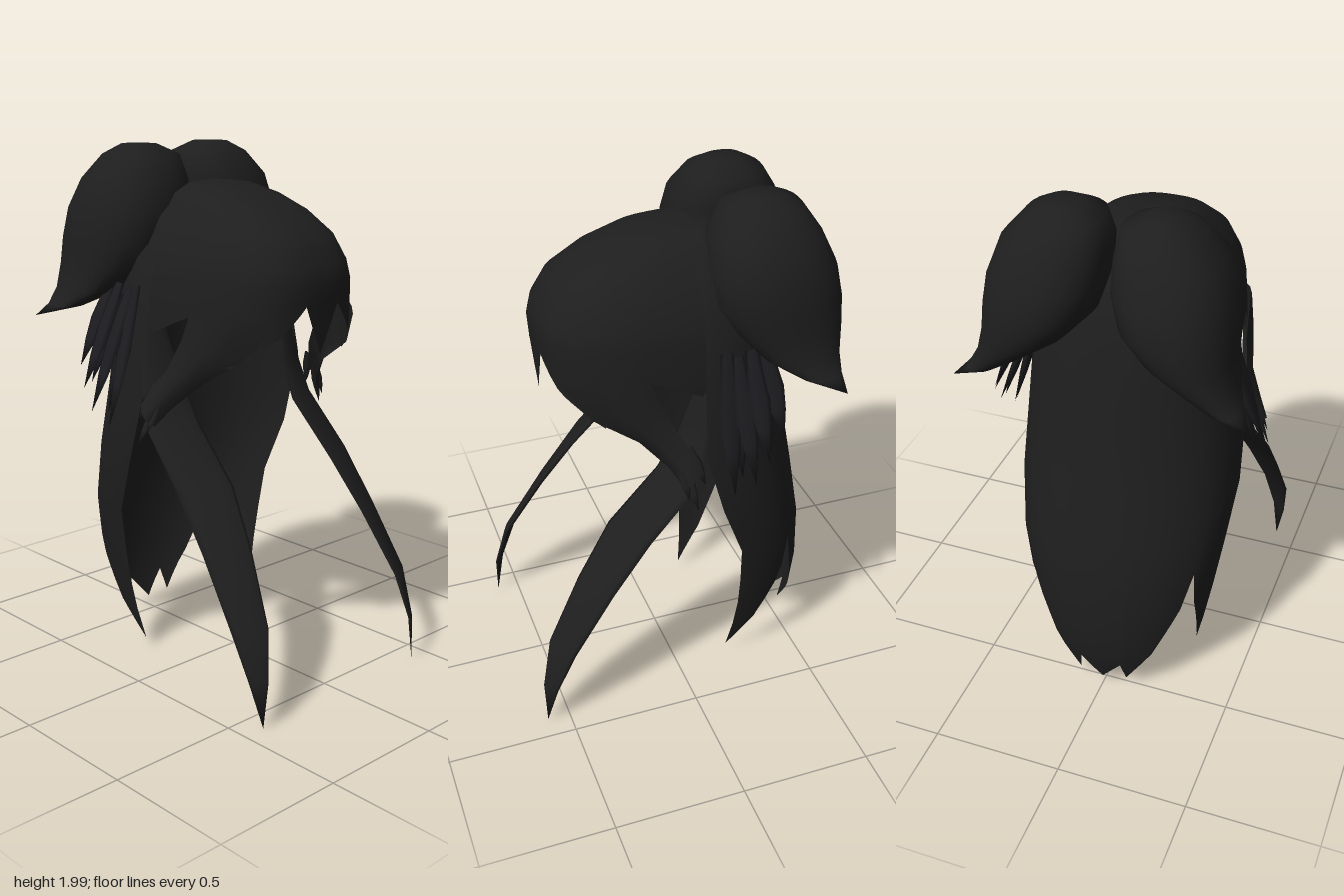
import * as THREE from 'three';
import { mergeVertices } from 'three/addons/utils/BufferGeometryUtils.js';

const hair = new THREE.MeshStandardMaterial({ color: 0x1e1e1e, side: THREE.DoubleSide });
hair.name = 'black hair';
const tuftHair = new THREE.MeshStandardMaterial({ color: 0x1c1c20, side: THREE.DoubleSide });
tuftHair.name = 'blue black hair';

// Smooth surface through a grid of points; rows run downwards, columns run to the right
function gridSurface(rows, flip = false) {
  const n = rows[0].length, index = [];
  for (let i = 0; i < rows.length - 1; i++) {
    for (let j = 0; j < n - 1; j++) {
      const a = i * n + j, b = a + 1, c = a + n, d = c + 1;
      if (flip) index.push(a, b, c, b, d, c);
      else index.push(a, c, b, b, c, d);
    }
  }
  const g = new THREE.BufferGeometry();
  g.setAttribute('position', new THREE.Float32BufferAttribute(rows.flat(2), 3));
  g.setIndex(index);
  const merged = mergeVertices(g, 1e-4);
  merged.computeVertexNormals();
  return merged;
}

function mirrored(geometry) {
  const g = geometry.clone().scale(-1, 1, 1);
  const ix = g.index.array;
  for (let i = 0; i < ix.length; i += 3) [ix[i], ix[i + 1]] = [ix[i + 1], ix[i]];
  g.computeVertexNormals();
  return g;
}

// Linear lookup of a table whose first entry is the sorted key
function lookup(table, key) {
  const up = table[table.length - 1][0] > table[0][0];
  for (let i = 0; i < table.length - 1; i++) {
    const a = table[i], b = table[i + 1];
    if (up ? key <= b[0] : key >= b[0]) {
      const t = THREE.MathUtils.clamp((key - a[0]) / (b[0] - a[0]), 0, 1);
      return a.map((v, k) => v + (b[k] - v) * t);
    }
  }
  return table[table.length - 1];
}

// Point on a rounded square of radius 1 as [sine, cosine]
function roundedSquare(angle, power) {
  const s = Math.sin(angle), c = Math.cos(angle);
  const k = Math.pow(Math.pow(Math.abs(s), power) + Math.pow(Math.abs(c), power), -1 / power);
  return [s * k, c * k];
}

// Open curtain wrapping `wrap` radians to each side of the middle.
// levels: [y, half width, z of open edge, z of middle]; rim: [u, lowest y], middle 0 to edge 1
function curtain(levels, rim, power, wrap, back) {
  const us = [];
  rim.forEach(([u], i) => {
    us.push(u);
    if (i < rim.length - 1) us.push(u + (rim[i + 1][0] - u) / 3, u + (rim[i + 1][0] - u) * 2 / 3);
  });
  const columns = [...us.slice(1).reverse().map(u => -u), ...us];
  const ys = [];
  levels.forEach(([y], i) => {
    ys.push(y);
    if (i < levels.length - 1) ys.push((y + levels[i + 1][0]) / 2);
  });
  const edge = roundedSquare(wrap, power)[1];
  const rows = ys.map(y0 => columns.map(u => {
    const y = Math.max(y0, lookup(rim, Math.abs(u))[1]);
    const [, rx, zEdge, zMid] = lookup(levels, y);
    const [s, c] = roundedSquare(u * wrap, power);
    return [rx * s, y, zEdge + (zMid - zEdge) * (c - edge) / (1 - edge)];
  }));
  return gridSurface(rows, back);
}

// Stacked rounded rings: [y, xMin, xMax, zMin, zMax, lean]; lean pushes the inner side forward
function ringStack(levels, sides, power) {
  return gridSurface(levels.map(([y, x0, x1, z0, z1, lean = 0]) =>
    Array.from({ length: sides + 1 }, (_, j) => {
      const [s, c] = roundedSquare((j % sides) / sides * Math.PI * 2, power);
      return [(x0 + x1) / 2 + (x1 - x0) / 2 * s, y, (z0 + z1) / 2 + (z1 - z0) / 2 * c - lean * s];
    })));
}

// Pointed flat tuft from root to tip
function spike(root, tip, width) {
  const a = new THREE.Vector3(...root), b = new THREE.Vector3(...tip);
  const dir = b.clone().sub(a).normalize();
  const out = new THREE.Vector3(1, 0, 0).addScaledVector(dir, -dir.x).normalize();
  const across = new THREE.Vector3().crossVectors(dir, out);
  return gridSurface([[0, 0.6], [0.45, 1], [0.7, 0.7], [1, 0]].map(([t, w]) =>
    Array.from({ length: 7 }, (_, j) => {
      const q = (j % 6) / 6 * Math.PI * 2;
      return a.clone().lerp(b, t)
        .addScaledVector(across, Math.cos(q) * width * w)
        .addScaledVector(out, Math.sin(q) * width * w * 0.3).toArray();
    })), true);
}

export function createModel() {
  const model = new THREE.Group();
  model.name = 'hairstyle';
  const add = (name, geometry, material = hair) => {
    const m = new THREE.Mesh(geometry, material);
    m.name = name;
    model.add(m);
  };
  const addPair = (name, geometry, material) => {
    add(name + 'Left', geometry, material);
    add(name + 'Right', mirrored(geometry), material);
  };

  // Long back hair with a jagged hem and a slit beside each side lock
  add('backHair', curtain([
    [1.868, 0, -0.12, -0.12], [1.84, 0.15, -0.07, -0.25], [1.75, 0.26, -0.07, -0.34],
    [1.6, 0.335, -0.07, -0.4], [1.4, 0.38, -0.06, -0.44], [1.1, 0.41, -0.06, -0.485],
    [0.85, 0.418, -0.13, -0.53], [0.62, 0.395, -0.22, -0.57], [0.4, 0.36, -0.235, -0.585],
    [0.2, 0.32, -0.21, -0.578], [0.05, 0.285, -0.18, -0.54],
  ], [[0, 0.05], [0.15, 0.15], [0.19, 0.06], [0.37, 0.22], [0.52, 0.44], [0.57, 0.6],
    [0.63, 0.45], [0.8, 0.2], [0.94, 0.05], [1, 0.45]], 2.15, 1.75, true));

  // Rounded crown and fringe
  add('fringe', curtain([
    [1.87, 0, -0.12, -0.12], [1.86, 0.11, -0.13, 0.04], [1.825, 0.18, -0.13, 0.16],
    [1.77, 0.23, -0.13, 0.29], [1.69, 0.285, -0.13, 0.4], [1.6, 0.325, -0.13, 0.45],
    [1.53, 0.34, -0.13, 0.465], [1.4, 0.352, -0.12, 0.455], [1.2, 0.355, -0.1, 0.445],
  ], [[0, 1.28], [0.145, 1.46], [0.3, 1.36], [0.42, 1.31], [0.55, 1.24],
    [0.66, 1.35], [0.72, 1.42], [1, 1.31]], 2.7, Math.PI / 2, false));

  // Teardrop buns with an outward tip
  addPair('bun', ringStack([
    [2.0, 0.19, 0.19, -0.33, -0.33], [1.998, 0.12, 0.24, -0.4, -0.26], [1.96, 0.035, 0.31, -0.47, -0.19],
    [1.87, 0.015, 0.39, -0.53, -0.135], [1.76, 0.015, 0.43, -0.58, -0.115],
    [1.65, 0.045, 0.445, -0.598, -0.12], [1.55, 0.14, 0.448, -0.588, -0.19],
    [1.46, 0.28, 0.465, -0.56, -0.28], [1.4, 0.39, 0.495, -0.545, -0.39], [1.36, 0.54, 0.54, -0.53, -0.53],
  ], 24, 2.4));

  // Long thin forward locks
  addPair('frontLock', ringStack([
    [1.35, 0.29, 0.37, -0.085, -0.055, 0.01], [1.15, 0.26, 0.41, -0.05, -0.01, 0.03],
    [1.0, 0.25, 0.433, 0.01, 0.055, 0.045], [0.8, 0.26, 0.448, 0.2, 0.245, 0.05],
    [0.6, 0.3, 0.456, 0.345, 0.385, 0.045], [0.36, 0.35, 0.467, 0.495, 0.53, 0.035],
    [0.18, 0.39, 0.447, 0.56, 0.58, 0.02], [0.01, 0.413, 0.413, 0.588, 0.588, 0],
  ], 12, 1.8));

  // Side fringe sweeping back: front edge and back edge of each step
  addPair('sweptFringe', gridSurface([
    [[0.2, 1.4, 0.425], [0.345, 1.46, 0.15]], [[0.275, 1.27, 0.33], [0.352, 1.33, 0.1]],
    [[0.32, 1.17, 0.17], [0.375, 1.21, 0.04]], [[0.38, 1.08, 0.08], [0.42, 1.14, 0]],
    [[0.43, 1.01, 0.035], [0.445, 1.08, -0.025]],
  ].map(([f, b]) => [0, 0.25, 0.5, 0.75, 1].map(t => {
    const bulge = 0.03 * Math.sin(Math.PI * t);
    return [f[0] + (b[0] - f[0]) * t + bulge, f[1] + (b[1] - f[1]) * t, f[2] + (b[2] - f[2]) * t + bulge * 0.5];
  }))));
  [[[0.4, 1.12, 0.04], [0.485, 0.94, 0.0]], [[0.4, 1.14, 0.05], [0.47, 0.98, 0.03]],
    [[0.4, 1.16, 0.01], [0.445, 1.02, -0.04]]]
    .forEach(([root, tip]) => addPair('fringeTip', spike(root, tip, 0.022)));

  // Jagged tufts on the sides
  [[[0.36, 1.5, -0.14], [0.51, 0.99, -0.13]], [[0.36, 1.48, -0.18], [0.535, 1.04, -0.2]],
    [[0.365, 1.5, -0.23], [0.53, 1.12, -0.25]], [[0.365, 1.5, -0.28], [0.49, 1.19, -0.32]],
    [[0.36, 1.45, -0.16], [0.48, 1.04, -0.17]], [[0.36, 1.46, -0.24], [0.47, 1.13, -0.28]]]
    .forEach(([root, tip]) => addPair('sideTuft', spike(root, tip, 0.04), tuftHair));

  return model;
}
